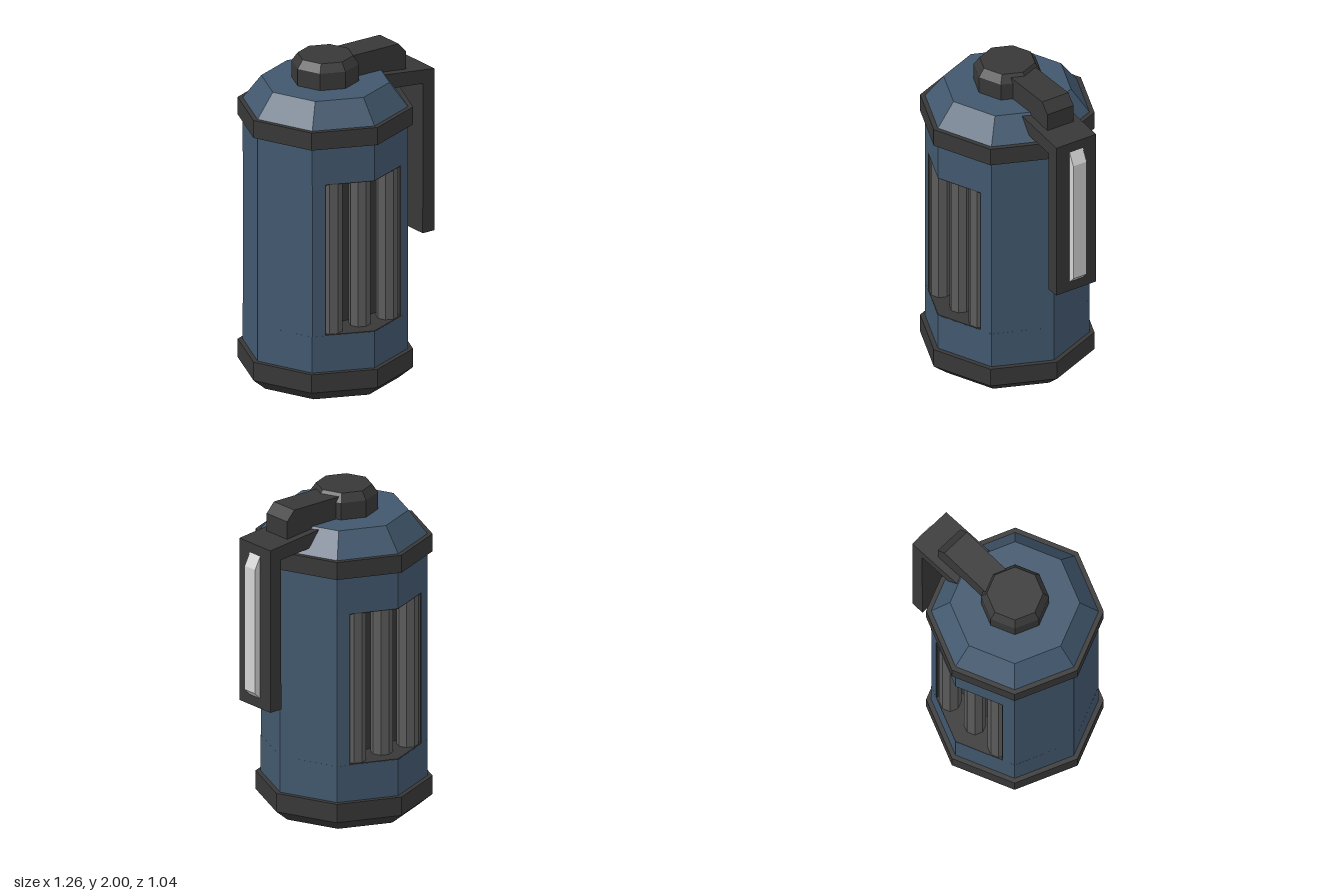
import * as THREE from 'three';

const flat = (name, color) => {
  const m = new THREE.MeshStandardMaterial({ color, flatShading: true });
  m.name = name;
  return m;
};

export function createModel() {
  const blue = flat('steelBlue', 0x42586e);
  const dark = flat('darkGrey', 0x383838);
  const grey = flat('tubeGrey', 0x5c5c5c);
  const light = flat('lightGrey', 0xd4d4d4);

  const model = new THREE.Group();
  model.name = 'canister';
  const barrel = new THREE.Group();
  barrel.name = 'barrel';
  barrel.position.x = -0.11;
  model.add(barrel);

  const add = (parent, name, geometry, material, x = 0, y = 0, z = 0) => {
    const mesh = new THREE.Mesh(geometry, material);
    mesh.name = name;
    mesh.position.set(x, y, z);
    parent.add(mesh);
    return mesh;
  };
  // Octagonal ring or frustum between two heights
  const octagon = (name, y0, r0, y1, r1, material) =>
    add(barrel, name, new THREE.CylinderGeometry(r1, r0, y1 - y0, 8), material, 0, (y0 + y1) / 2, 0);
  const extrude = (points, depth) => new THREE.ExtrudeGeometry(
    new THREE.Shape(points.map(([x, y]) => new THREE.Vector2(x, y))), { depth, bevelEnabled: false });
  // Outline in plan, raised along y
  const prism = (points, height) => extrude(points, height).rotateX(-Math.PI / 2);

  // Base, body ends, rim, dome and cap
  octagon('baseChamfer', 0, 0.435, 0.07, 0.52, dark);
  octagon('baseRing', 0.07, 0.52, 0.185, 0.52, dark);
  octagon('lowerBody', 0.185, 0.49, 0.41, 0.49, blue);
  octagon('upperBody', 1.36, 0.49, 1.59, 0.49, blue);
  octagon('topRing', 1.59, 0.52, 1.7, 0.52, dark);
  octagon('dome', 1.7, 0.49, 1.845, 0.38, blue);
  octagon('cap', 1.845, 0.2, 1.95, 0.2, dark);
  octagon('capChamfer', 1.95, 0.2, 2, 0.165, dark);

  // Body walls beside the windows, and the core behind them
  const y0 = 0.41, h = 0.95, w = 0.275, edge = 0.376, back = 0.25;
  const wall = prism([[w, -edge], [0.346, -0.346], [0.49, 0], [0.346, 0.346], [w, edge]], h);
  for (const turn of [0, Math.PI]) add(barrel, 'sideWall', wall, blue, 0, y0, 0).rotation.y = turn;
  add(barrel, 'core', new THREE.BoxGeometry(w * 2, h, back * 2), dark, 0, y0 + h / 2, 0);

  // Front and back windows with their lining and tubes
  const lining = prism([[-w, -edge], [0, -0.489], [w, -edge], [w, -back], [-w, -back]], 0.006);
  const tube = new THREE.CylinderGeometry(0.065, 0.065, h - 0.01, 8);
  for (const turn of [0, Math.PI]) {
    const win = new THREE.Group();
    win.name = 'window';
    win.rotation.y = turn;
    barrel.add(win);
    add(win, 'windowFloor', lining, dark, 0, y0, 0);
    add(win, 'windowCeiling', lining, dark, 0, y0 + h - 0.006, 0);
    for (const side of [-1, 1])
      add(win, 'windowCheek', new THREE.BoxGeometry(0.006, h, edge - back - 0.003), dark,
        side * (w - 0.002), y0 + h / 2, (edge + back) / 2 - 0.0015);
    for (const x of [-0.2, 0.005, 0.203]) add(win, 'tube', tube, grey, x, y0 + h / 2, 0.335);
  }

  // Latch arm from the cap
  add(model, 'latchArm', extrude(
    [[-0.08, 1.81], [0.42, 1.81], [0.42, 1.92], [0.365, 1.98], [-0.08, 1.98]], 0.185), dark, 0, 0, -0.11);

  // Bent lever hanging beside the body
  add(model, 'lever', extrude(
    [[0.15, 1.84], [0.15, 1.748], [0.505, 1.715], [0.503, 0.778], [0.587, 0.778], [0.587, 1.792]], 0.28),
  dark, 0, 0, -0.155);

  // Pale strip on the lever
  add(model, 'leverStrip', extrude(
    [[0.58, 0.84], [0.587, 0.84], [0.626, 0.88], [0.626, 1.655], [0.587, 1.73], [0.58, 1.73]], 0.094),
  light, 0, 0, -0.063);

  return model;
}
